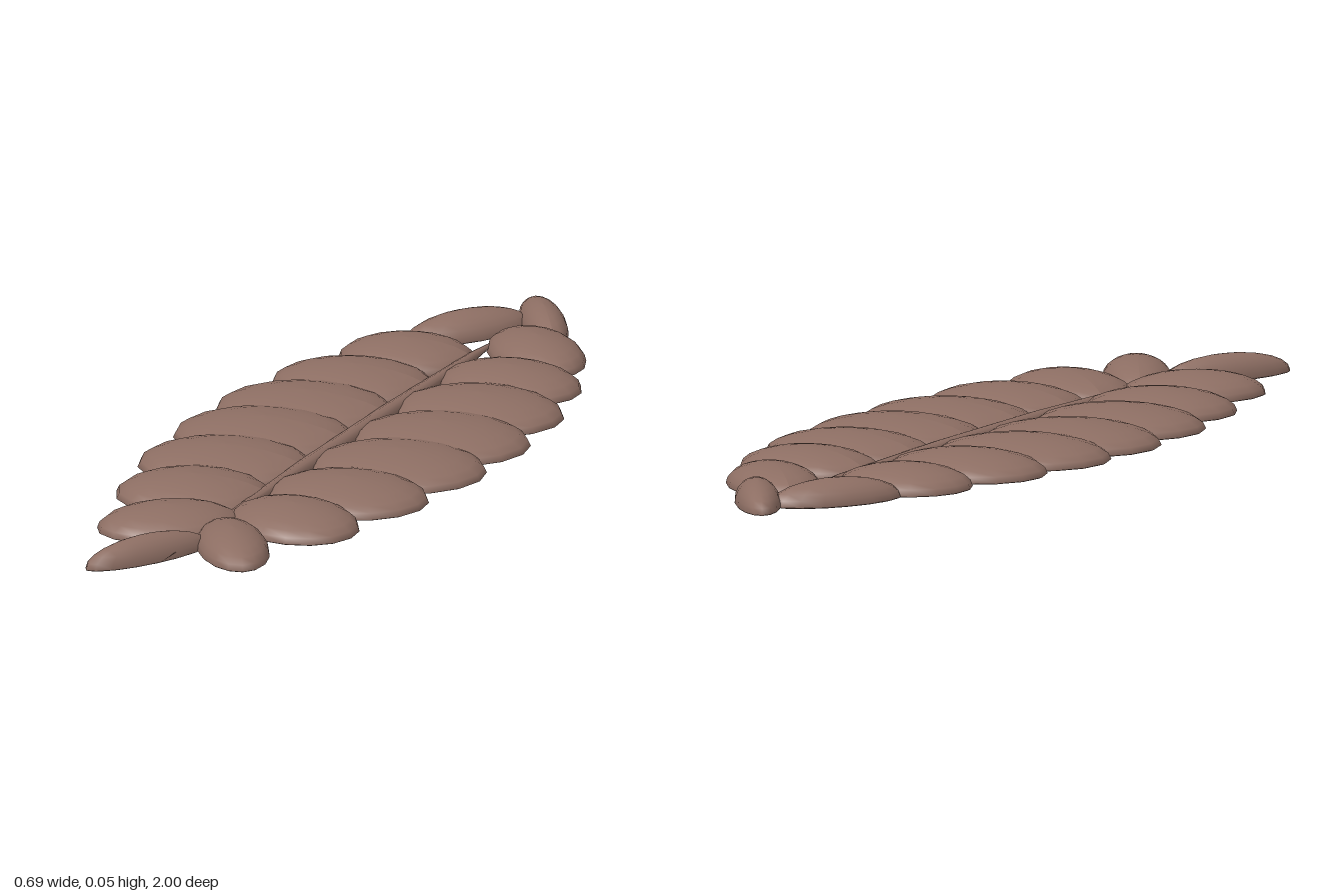
import * as THREE from 'three';

// Lobes as [inner x, inner z, outer x, outer z, half width]
const LEFT_LOBES = [
  [0.11, -0.75, -0.045, -1.0, 0.045],
  [0.0, -0.8, 0.2, -0.57, 0.09],
  [-0.01, -0.51, 0.28, -0.44, 0.125],
  [-0.015, -0.3, 0.325, -0.255, 0.15],
  [-0.015, -0.08, 0.342, -0.06, 0.16],
  [-0.015, 0.13, 0.337, 0.14, 0.16],
  [-0.015, 0.33, 0.31, 0.37, 0.145],
  [0.0, 0.47, 0.245, 0.64, 0.12],
  [0.0, 0.62, 0.16, 0.89, 0.07],
];
const RIGHT_LOBES = [
  [-0.01, -0.9, -0.165, -0.66, 0.06],
  [0.01, -0.59, -0.255, -0.54, 0.125],
  [0.015, -0.37, -0.31, -0.35, 0.14],
  [0.015, -0.17, -0.34, -0.15, 0.155],
  [0.015, 0.03, -0.345, 0.04, 0.16],
  [0.015, 0.23, -0.33, 0.255, 0.155],
  [0.015, 0.42, -0.285, 0.48, 0.14],
  [0.01, 0.56, -0.2, 0.76, 0.112],
  [0.02, 0.74, -0.125, 1.0, 0.04],
];

// Low dome with an almost flat underside
function lobeGeometry(length, halfWidth) {
  const geo = new THREE.SphereGeometry(1, 16, 12);
  const p = geo.attributes.position;
  for (let i = 0; i < p.count; i++) {
    const y = p.getY(i);
    p.setXYZ(i, p.getX(i) * length / 2, y * (y > 0 ? 0.046 : 0.009), p.getZ(i) * halfWidth);
  }
  geo.computeVertexNormals();
  return geo;
}

export function createModel() {
  const model = new THREE.Group();
  model.name = 'lobedLeaf';
  const brown = new THREE.MeshStandardMaterial({ color: 0x8d6e63 });
  brown.name = 'brown';

  const addLobes = (rows, name) => {
    const side = new THREE.Group();
    side.name = name + 's';
    rows.forEach(([x0, z0, x1, z1, w], i) => {
      const dx = x1 - x0, dz = z1 - z0;
      const lobe = new THREE.Mesh(lobeGeometry(Math.hypot(dx, dz), w), brown);
      lobe.name = name + (i + 1);
      lobe.position.set((x0 + x1) / 2, 0.01, (z0 + z1) / 2);
      lobe.rotation.y = -Math.atan2(dz, dx);
      side.add(lobe);
    });
    model.add(side);
  };
  addLobes(LEFT_LOBES, 'leftLobe');
  addLobes(RIGHT_LOBES, 'rightLobe');

  // Midrib, tapering to a hair-thin stalk at the front
  const profile = [[0, -0.75], [0.01, -0.6], [0.017, -0.2], [0.017, 0.2], [0.009, 0.6], [0.002, 0.75], [0, 0.93]]
    .map(([r, z]) => new THREE.Vector2(r, z));
  const ribGeo = new THREE.LatheGeometry(profile, 10);
  ribGeo.rotateX(Math.PI / 2);
  const midrib = new THREE.Mesh(ribGeo, brown);
  midrib.name = 'midrib';
  midrib.position.y = 0.02;
  model.add(midrib);

  return model;
}
